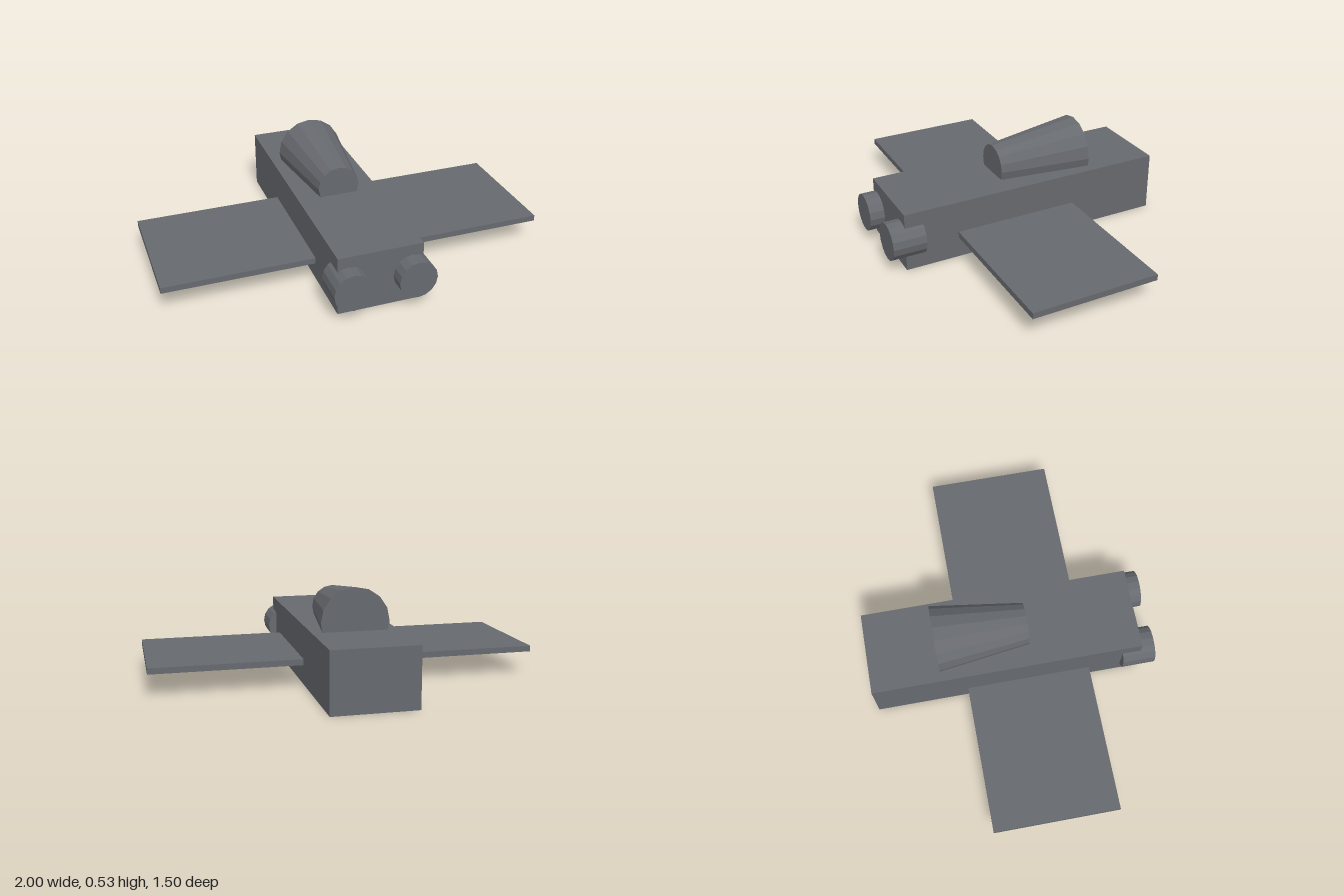
import * as THREE from 'three';

export function createModel() {
  const model = new THREE.Group();
  model.name = 'aircraft';
  const grey = new THREE.MeshStandardMaterial({ color: 0x66696e, flatShading: true });
  grey.name = 'hull grey';

  const add = (name, geometry, x, y, z) => {
    const mesh = new THREE.Mesh(geometry, grey);
    mesh.name = name;
    mesh.position.set(x, y, z);
    model.add(mesh);
  };
  // Cylinder lying along z, with its own radius at each end
  const barrel = (frontRadius, backRadius, length) =>
    new THREE.CylinderGeometry(frontRadius, backRadius, length, 16).rotateX(Math.PI / 2);

  // Box fuselage
  add('fuselage', new THREE.BoxGeometry(0.436, 0.309, 1.427), 0, 0.1545, -0.0385);

  // Tapered canopy, half sunk into the fuselage top
  add('canopy', barrel(0.109, 0.174, 0.483), 0, 0.353, -0.1475);

  // Wings stand just off the hull; engines sit in the front corners
  for (const [side, s] of [['left', 1], ['right', -1]]) {
    add(side + 'Wing', new THREE.BoxGeometry(0.768, 0.031, 0.656), s * 0.616, 0.1355, 0.07);
    add(side + 'Engine', barrel(0.098, 0.098, 0.174), s * 0.164, 0.156, 0.665);
  }
  return model;
}
